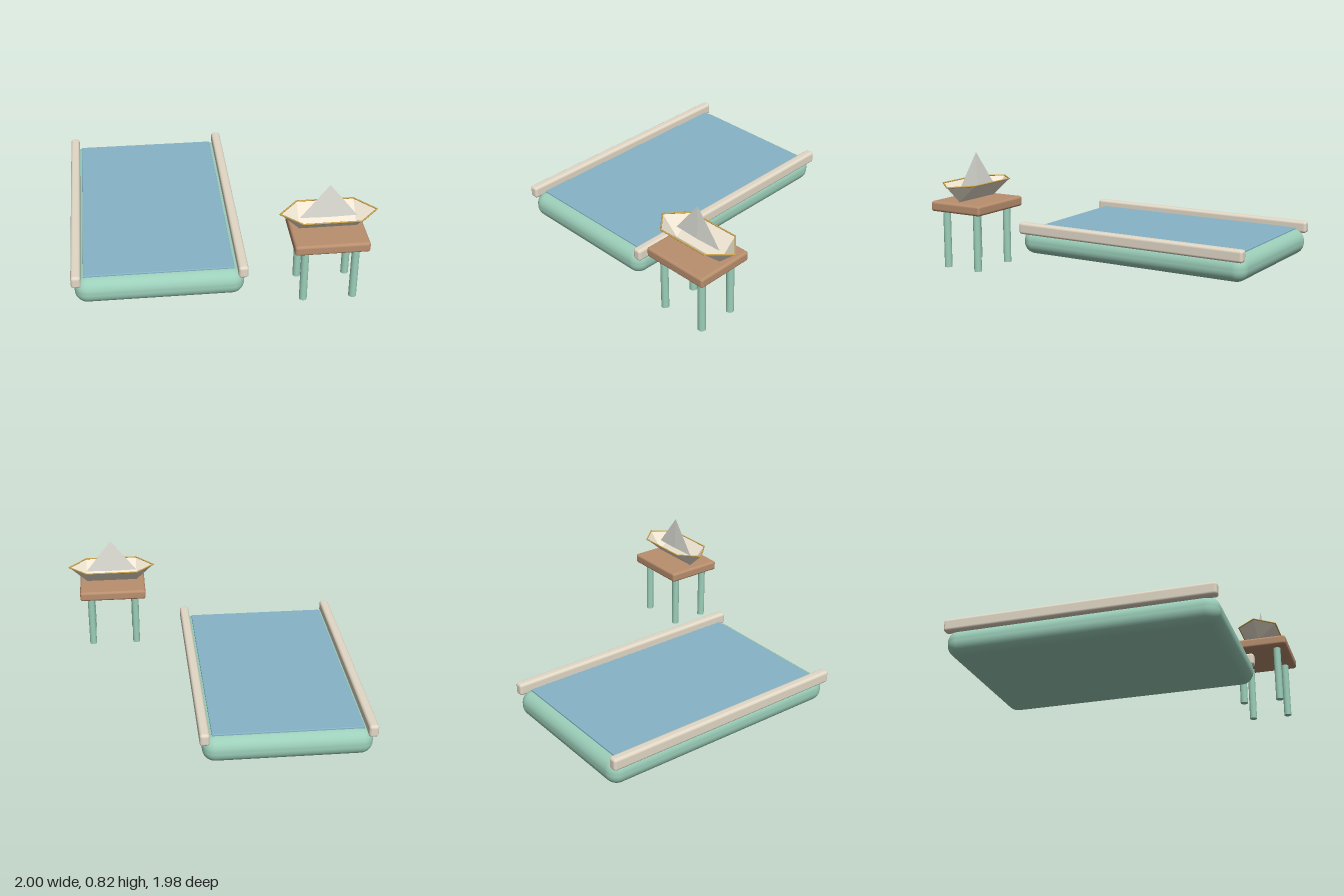
import * as THREE from 'three';
import { RoundedBoxGeometry } from 'three/addons/geometries/RoundedBoxGeometry.js';

const mat = (color, extra = {}) => {
  const m = new THREE.MeshStandardMaterial({ color, ...extra });
  return m;
};

export function createModel() {
  const model = new THREE.Group();
  const green = mat(0x9ccfba), stone = mat(0xe2d8c6), wood = mat(0xb98f6e);
  const water = mat(0x86b4c8), gold = mat(0xc9a24a);
  const paper = mat(0xefe5d2, { flatShading: true, side: THREE.DoubleSide });
  const sailPaper = mat(0xe6e6de, { flatShading: true, side: THREE.DoubleSide });

  const add = (parent, name, geometry, material) => {
    const mesh = new THREE.Mesh(geometry, material);
    mesh.name = name;
    parent.add(mesh);
    return mesh;
  };
  // Rounded box given by its two extreme corners
  const slab = (parent, name, a, b, radius, material) => {
    const size = a.map((v, i) => b[i] - v);
    const mesh = add(parent, name, new RoundedBoxGeometry(...size, 5, radius), material);
    mesh.position.set(...a.map((v, i) => (v + b[i]) / 2));
    return mesh;
  };

  // Pool: padded basin, water sheet and two long rails
  const pool = new THREE.Group();
  pool.name = 'pool';
  model.add(pool);
  slab(pool, 'basin', [-0.98, 0.005, -0.99], [0.145, 0.19, 0.815], 0.085, green);
  slab(pool, 'water', [-0.92, 0.175, -0.92], [0.08, 0.2, 0.74], 0.005, water);
  for (const [name, x] of [['rightRail', -1], ['leftRail', 0.1]])
    slab(pool, name, [x, 0.157, -0.99], [x + 0.065, 0.244, 0.815], 0.02, stone);

  // Side table with four round legs
  const table = new THREE.Group();
  table.name = 'table';
  model.add(table);
  slab(table, 'tableTop', [0.433, 0.438, 0.575], [0.92, 0.508, 0.99], 0.018, wood);
  for (const x of [0.512, 0.842])
    for (const z of [0.657, 0.914])
      add(table, 'tableLeg', new THREE.CylinderGeometry(0.026, 0.026, 0.4, 20), green)
        .position.set(x, 0.243, z);

  // Folded paper boat, centred on its own keel
  const boat = new THREE.Group();
  boat.name = 'paperBoat';
  boat.position.set(0.679, 0.51, 0.781);
  model.add(boat);
  const rim = [
    [-0.315, 0.117, 0], [-0.188, 0.122, 0.136], [0.188, 0.122, 0.136],
    [0.315, 0.117, 0], [0.188, 0.122, -0.136], [-0.188, 0.122, -0.136],
  ];
  const keel = [[-0.188, 0, 0], [0.188, 0, 0]];
  // Rim corners 0-5, keel ends 6 and 7
  const hull = new THREE.BufferGeometry();
  hull.setAttribute('position', new THREE.Float32BufferAttribute([...rim, ...keel].flat(), 3));
  hull.setIndex([0, 6, 1, 6, 7, 1, 7, 2, 1, 7, 3, 2, 7, 4, 3, 7, 6, 4, 6, 5, 4, 6, 0, 5]);
  const hullFaces = hull.toNonIndexed();
  hullFaces.computeVertexNormals();
  add(boat, 'hull', hullFaces, paper);

  // Gilded edge running round the rim
  rim.forEach((p, i) => {
    const a = new THREE.Vector3(...p), b = new THREE.Vector3(...rim[(i + 1) % rim.length]);
    add(boat, 'rimTrim', new THREE.TubeGeometry(new THREE.LineCurve3(a, b), 1, 0.005, 8), gold);
    add(boat, 'rimCorner', new THREE.SphereGeometry(0.005, 8, 6), gold).position.copy(a);
  });

  // Thin triangular sail: a flattened four-sided cone
  const sail = add(boat, 'sail', new THREE.ConeGeometry(0.188, 0.24, 4), sailPaper);
  sail.scale.z = 0.035;
  sail.position.y = 0.2;

  return model;
}
